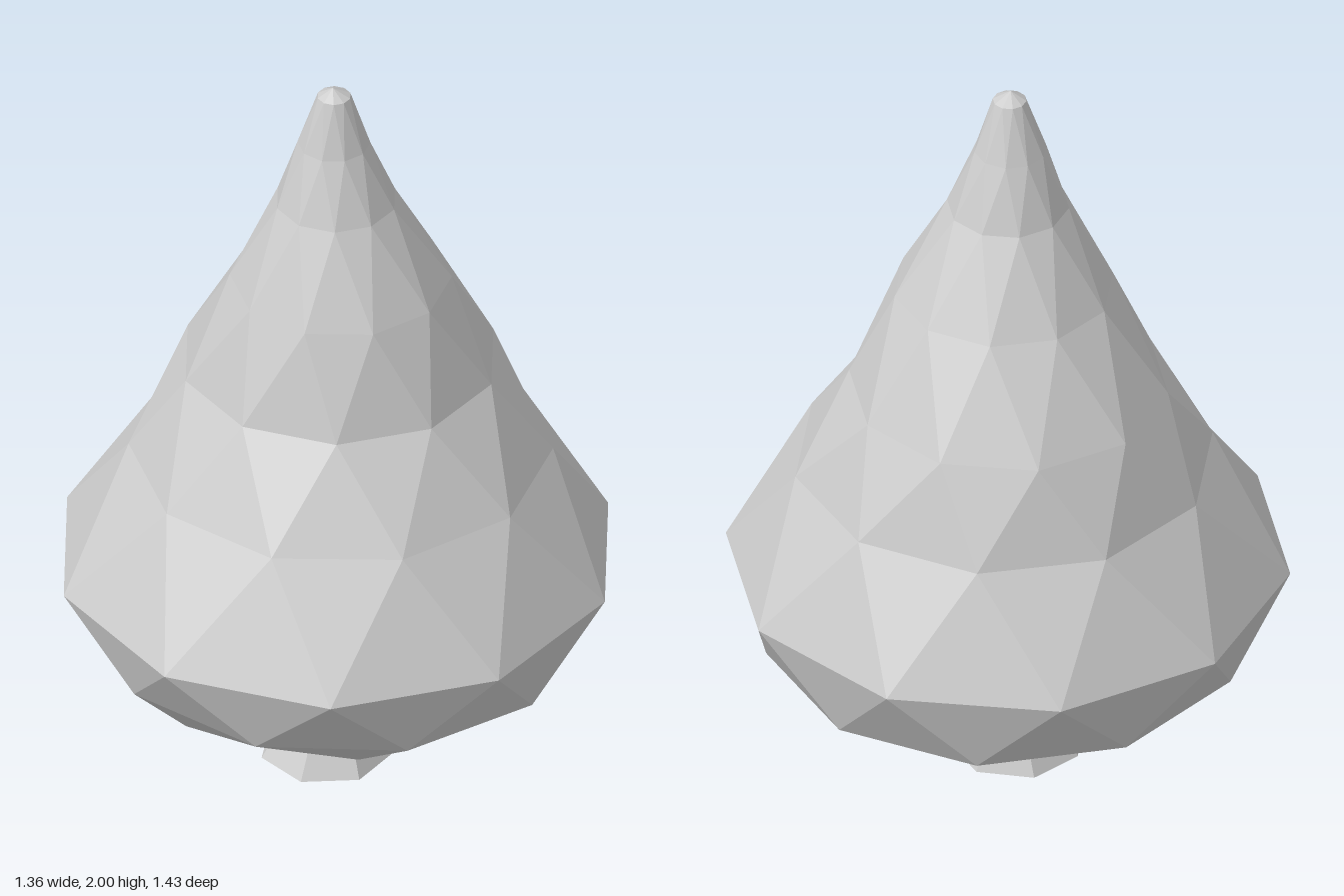
import * as THREE from 'three';

const material = () => new THREE.MeshStandardMaterial({ color: 0xcccccc, flatShading: true });

// Ring of points around (cx, cz); tilt lowers the +x side
function ring(sides, turn, y, r, cx = 0, cz = 0, tilt = 0) {
  return Array.from({ length: sides }, (_, i) => {
    const a = turn + (i * Math.PI * 2) / sides;
    const x = cx + r * Math.cos(a);
    return new THREE.Vector3(x, y - tilt * x, cz + r * Math.sin(a));
  });
}

function meshFrom(name, triangles) {
  const geometry = new THREE.BufferGeometry().setFromPoints(triangles);
  geometry.computeVertexNormals();
  const mesh = new THREE.Mesh(geometry, material());
  mesh.name = name;
  return mesh;
}

// Band of triangles between two rings of equal count, lower one first
function band(out, lower, upper) {
  const n = lower.length;
  for (let i = 0; i < n; i++) {
    const j = (i + 1) % n;
    out.push(lower[i], upper[i], lower[j], lower[j], upper[i], upper[j]);
  }
}

function makeFoliage() {
  // y, radius, centre x, centre z, tilt; each ring turns half a step further
  const levels = [
    [0.375, 0.62, 0, 0, 0.024],
    [0.59, 0.717, 0, 0, 0],
    [0.9, 0.535, 0.015, 0, 0],
    [1.15, 0.405, 0.035, -0.035, 0],
    [1.42, 0.28, 0.015, 0, 0],
    [1.66, 0.155, 0, 0, 0],
    [1.83, 0.092, -0.003, -0.005, 0],
    [1.975, 0.043, -0.006, 0, 0],
  ];
  const rings = levels.map(([y, r, cx, cz, tilt], k) => ring(10, (k * Math.PI) / 10, y, r, cx, cz, tilt));
  const out = [];
  for (let k = 0; k + 1 < rings.length; k++) band(out, rings[k], rings[k + 1]);

  // Pointed tip
  const tip = new THREE.Vector3(-0.01, 2, 0);
  const last = rings[rings.length - 1];
  last.forEach((p, i) => out.push(p, tip, last[(i + 1) % 10]));

  // Underside: ten sides narrow to five, then close at a point
  const first = rings[0];
  const under = ring(5, Math.PI / 5, 0.23, 0.39, -0.07);
  const base = new THREE.Vector3(-0.03, 0.175, 0);
  under.forEach((p, j) => {
    const next = under[(j + 1) % 5];
    const [a, b, c] = [0, 1, 2].map((s) => first[(2 * j + s) % 10]);
    out.push(p, a, b, p, b, c, p, c, next, base, p, next);
  });
  return meshFrom('foliage', out);
}

function makeTrunk() {
  const turn = 0.77;
  const rings = [
    ring(7, turn, 0, 0.17, -0.03),
    ring(7, turn, 0.12, 0.106, -0.02),
    ring(7, turn, 0.21, 0.095, -0.02),
  ];
  const out = [];
  band(out, rings[0], rings[1]);
  band(out, rings[1], rings[2]);
  // Foot cap
  const foot = new THREE.Vector3(-0.03, 0, 0);
  rings[0].forEach((p, i) => out.push(foot, p, rings[0][(i + 1) % 7]));
  return meshFrom('trunk', out);
}

export function createModel() {
  const tree = new THREE.Group();
  tree.name = 'tree';
  tree.add(makeFoliage(), makeTrunk());
  return tree;
}
